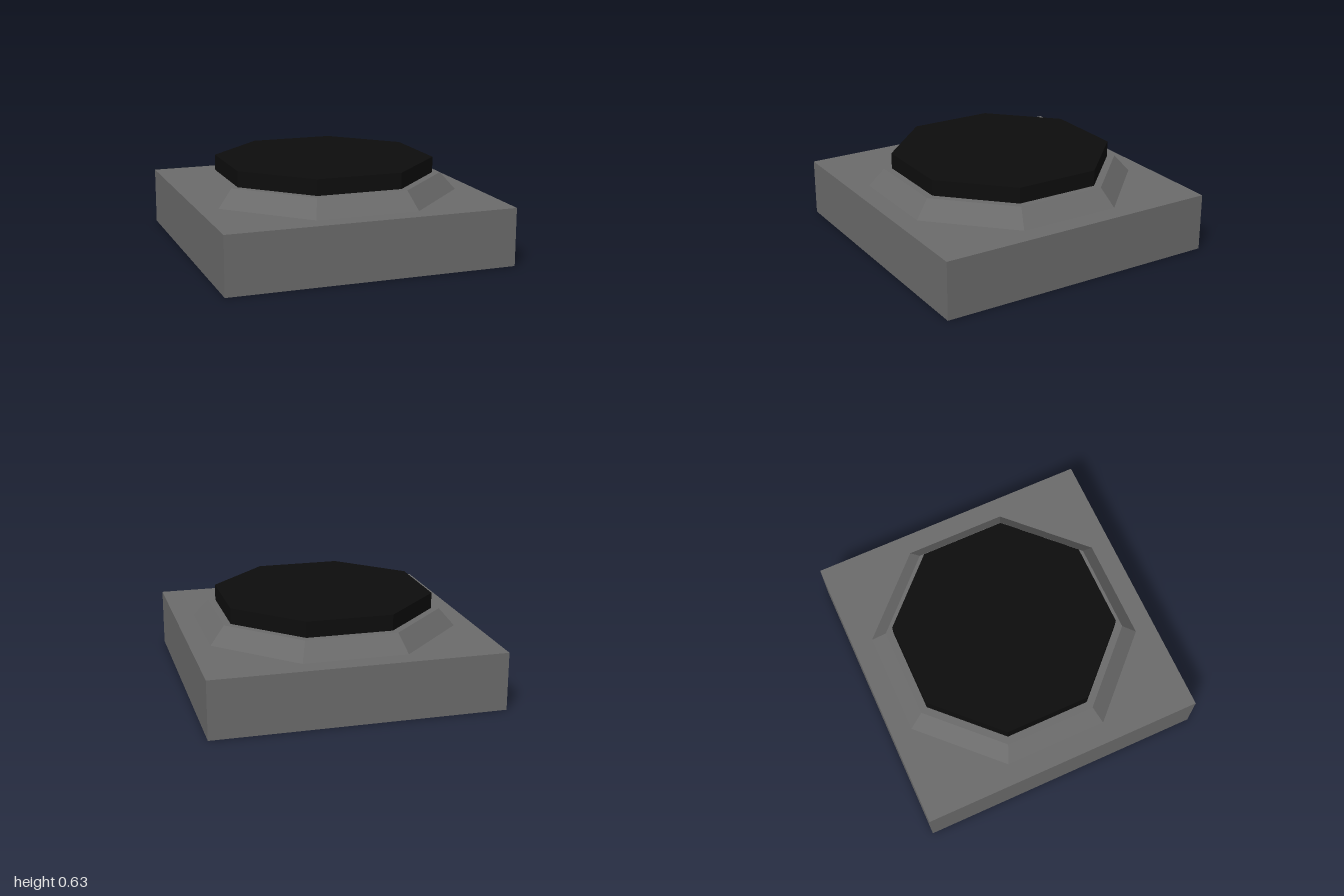
import * as THREE from 'three';

const grey = new THREE.MeshStandardMaterial({ color: 0x6b6b6b });
grey.name = 'grey';
const black = new THREE.MeshStandardMaterial({ color: 0x0d0d0d });
black.name = 'black';

// Faceted octagonal prism with flats facing the axes, sized by half-width across the flats
function octagon(name, topHalf, bottomHalf, y0, y1, material) {
  const k = 1 / Math.cos(Math.PI / 8);
  const geometry = new THREE.CylinderGeometry(topHalf * k, bottomHalf * k, y1 - y0, 8)
    .rotateY(Math.PI / 8)
    .translate(0, (y0 + y1) / 2, 0)
    .toNonIndexed();
  geometry.computeVertexNormals();
  const mesh = new THREE.Mesh(geometry, material);
  mesh.name = name;
  return mesh;
}

export function createModel() {
  const model = new THREE.Group();
  model.name = 'pedestalButton';

  // Square base slab
  const base = new THREE.Mesh(new THREE.BoxGeometry(2, 0.4, 2).translate(0, 0.2, 0), grey);
  base.name = 'base';

  // Sloped collar and the raised cap on it
  model.add(
    base,
    octagon('collar', 0.76, 0.86, 0.4, 0.52, grey),
    octagon('cap', 0.71, 0.71, 0.52, 0.63, black)
  );
  return model;
}
